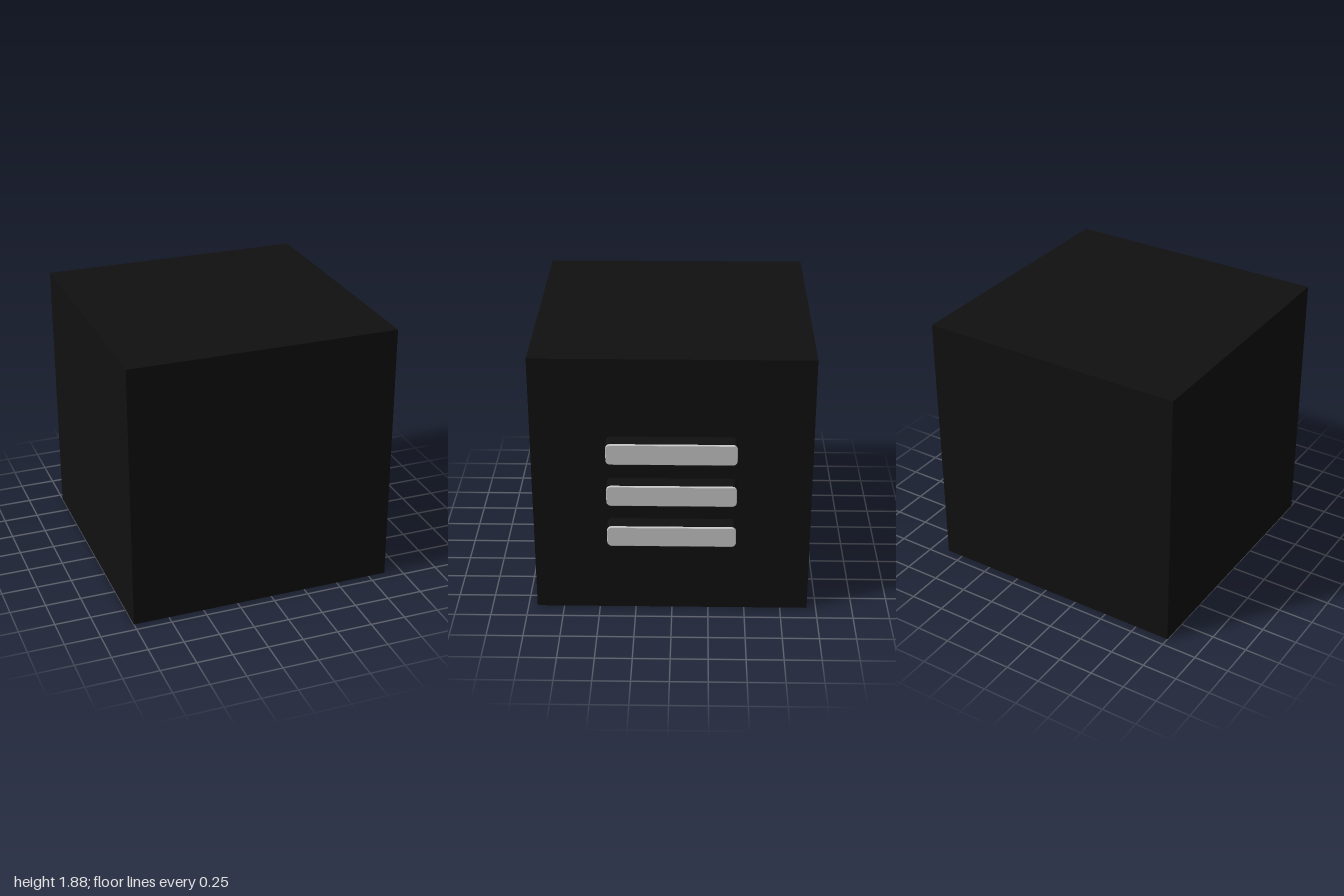
import * as THREE from 'three';

// Rounded slab lying across z, extruded along +x from x0 to x1
function slab(width, height, radius, x0, x1, bevel) {
  const w = width / 2 - bevel, h = height / 2 - bevel, r = radius - bevel;
  const s = new THREE.Shape();
  s.moveTo(-w + r, -h);
  s.lineTo(w - r, -h);
  s.absarc(w - r, -h + r, r, -Math.PI / 2, 0, false);
  s.lineTo(w, h - r);
  s.absarc(w - r, h - r, r, 0, Math.PI / 2, false);
  s.lineTo(-w + r, h);
  s.absarc(-w + r, h - r, r, Math.PI / 2, Math.PI, false);
  s.lineTo(-w, -h + r);
  s.absarc(-w + r, -h + r, r, Math.PI, Math.PI * 1.5, false);
  const geometry = new THREE.ExtrudeGeometry(s, {
    depth: x1 - x0 - 2 * bevel, curveSegments: 6,
    bevelEnabled: bevel > 0, bevelThickness: bevel, bevelSize: bevel, bevelSegments: 2,
  });
  return geometry.rotateY(Math.PI / 2).translate(x0 + bevel, 0, 0);
}

export function createModel() {
  const model = new THREE.Group();
  const black = new THREE.MeshStandardMaterial({ color: 0x101010 });
  const grey = new THREE.MeshStandardMaterial({ color: 0xcccccc });
  const add = (parent, name, geometry, material) => {
    const mesh = new THREE.Mesh(geometry, material);
    mesh.name = name;
    parent.add(mesh);
    return mesh;
  };

  // Cubic housing
  const size = 1.875;
  add(model, 'housing', new THREE.BoxGeometry(size, size, size), black)
    .position.set(-1 + size / 2, size / 2, 0);

  // Three raised bars on the +x face, each with a pale cap
  const stemGeometry = slab(0.87, 0.148, 0.03, 0.86, 0.98, 0);
  const capGeometry = slab(0.865, 0.144, 0.03, 0.978, 1, 0.004);
  for (let i = -1; i <= 1; i++) {
    const bar = new THREE.Group();
    bar.name = 'bar';
    bar.position.y = 0.94 + i * 0.308;
    add(bar, 'barStem', stemGeometry, black);
    add(bar, 'barCap', capGeometry, grey);
    model.add(bar);
  }
  return model;
}
